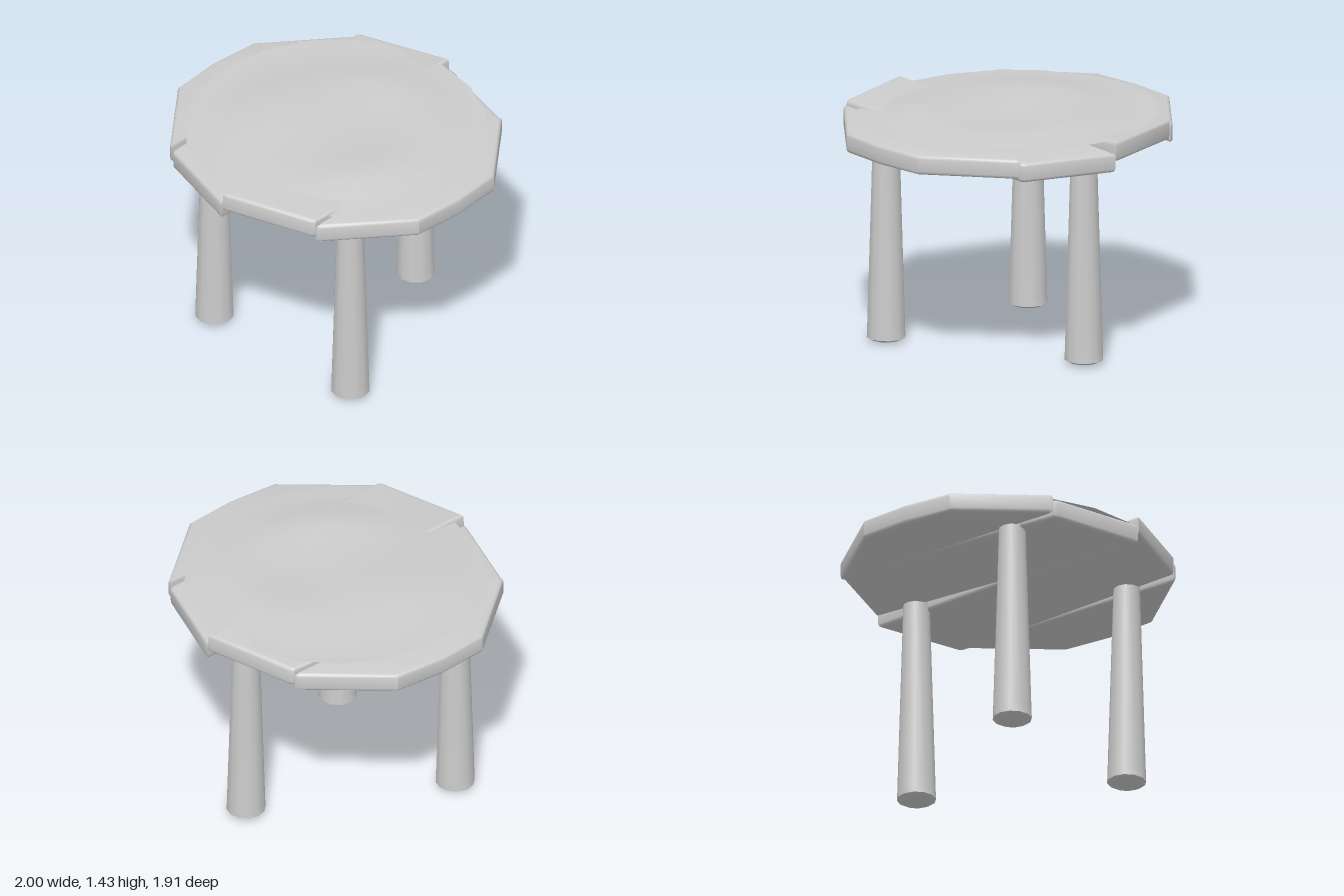
import * as THREE from 'three';
import { toCreasedNormals } from 'three/addons/utils/BufferGeometryUtils.js';

const material = new THREE.MeshStandardMaterial({ color: 0xcccccc });
const sheetMaterial = new THREE.MeshStandardMaterial({ color: 0xcccccc, side: THREE.DoubleSide });

// Rounded board from an (x, z) outline, centred on its own thickness
function plank(name, outline, y, tilt) {
  const t = 0.118, b = 0.022;
  const shape = new THREE.Shape(outline.map(([x, z]) => new THREE.Vector2(x, -z)));
  let geo = new THREE.ExtrudeGeometry(shape, {
    depth: t - 2 * b, bevelThickness: b, bevelSize: b, bevelOffset: -b, bevelSegments: 3,
  });
  geo.translate(0, 0, -(t - 2 * b) / 2);
  geo.rotateX(-Math.PI / 2);
  geo = toCreasedNormals(geo, 0.6);
  const mesh = new THREE.Mesh(geo, material);
  mesh.name = name;
  mesh.position.y = y;
  mesh.rotation.x = tilt;
  return mesh;
}

// Tapered round leg with a shallow pointed foot
function leg(name, x, z) {
  const profile = [[0, 0.005], [0.09, 0.016], [0.115, 0.03], [0.113, 0.08], [0.078, 1.28], [0, 1.28]]
    .map(([r, y]) => new THREE.Vector2(r, y));
  const geo = toCreasedNormals(new THREE.LatheGeometry(profile, 12), 0.8);
  const mesh = new THREE.Mesh(geo, material);
  mesh.name = name;
  mesh.position.set(x, 0, z);
  return mesh;
}

// Thin rumpled disc with a raised middle
function seatCover() {
  const geo = new THREE.RingGeometry(0.001, 0.885, 20, 12);
  geo.rotateX(-Math.PI / 2);
  const p = geo.attributes.position;
  for (let i = 0; i < p.count; i++) {
    const x = p.getX(i), z = p.getZ(i);
    const r = Math.hypot(x, z);
    // the rim is highest at the back right of the seat and lowest at its opposite side
    const rim = 1.384 - 0.013 * (x + z) * r;
    const dome = 1 - THREE.MathUtils.smoothstep(r, 0.45, 0.885);
    const wave = 0.009 * Math.sin(6 * x + 2.2 * z + 3.6) + 0.006 * Math.sin(7 * z - 2 * x);
    p.setY(i, THREE.MathUtils.lerp(rim, 1.418 + wave, dome));
  }
  geo.computeVertexNormals();
  const mesh = new THREE.Mesh(geo, sheetMaterial);
  mesh.name = 'seatCover';
  return mesh;
}

export function createModel() {
  const group = new THREE.Group();
  group.name = 'stool';

  // Four boards: level outer ones, inner ones tipped opposite ways
  for (const [side, s] of [['left', 1], ['right', -1]]) {
    const outer = [[0.585, -0.775], [0.605, -0.765], [0.975, -0.315], [1, 0], [0.975, 0.315], [0.605, 0.765], [0.585, 0.775]];
    const inner = [[0.004, -0.955], [0.03, -0.95], [0.555, -0.79], [0.576, -0.77],
      [0.576, 0.77], [0.555, 0.79], [0.03, 0.95], [0.004, 0.955]];
    const flip = (pts) => pts.map(([x, z]) => [s * x, z]);
    group.add(plank(side + 'OuterPlank', flip(outer), 1.308, 0));
    group.add(plank(side + 'InnerPlank', flip(inner), 1.31, -s * 0.034));
  }

  group.add(seatCover());

  // Two front legs and one at the back
  group.add(leg('leftFrontLeg', 0.55, 0.45));
  group.add(leg('rightFrontLeg', -0.55, 0.45));
  group.add(leg('backLeg', 0, -0.67));
  return group;
}
